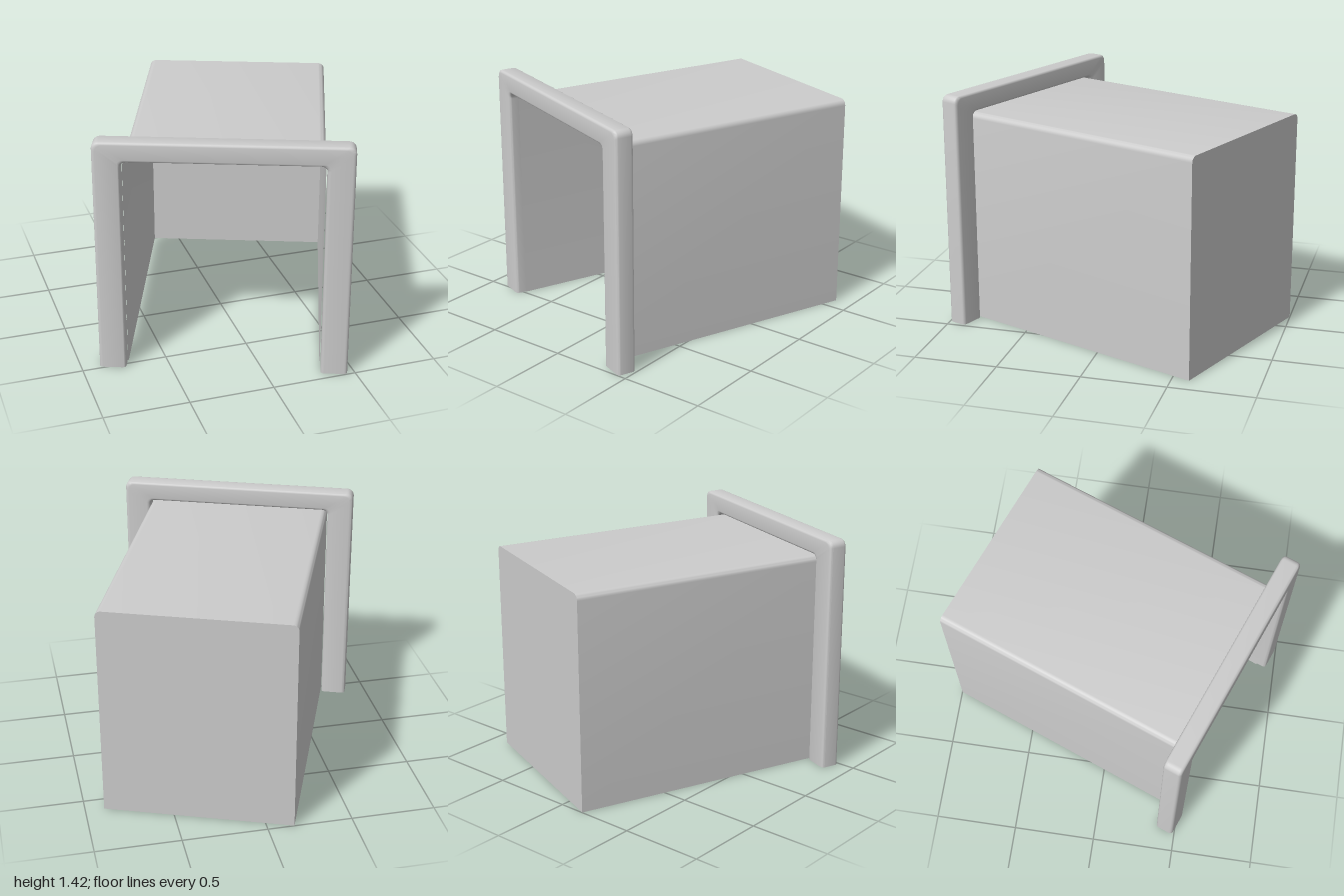
import * as THREE from 'three';
import { mergeVertices, toCreasedNormals } from 'three/addons/utils/BufferGeometryUtils.js';

const material = new THREE.MeshStandardMaterial({ color: 0xcccccc, side: THREE.DoubleSide });

// Upside-down U from the left foot over the top to the right foot, with rounded corners
function archPoints(half, top, radius, steps = 6) {
  const points = [[-half, 0]];
  for (const [cx, start] of [[-half + radius, Math.PI], [half - radius, Math.PI / 2]]) {
    for (let i = 0; i <= steps; i++) {
      const a = start - (i / steps) * Math.PI / 2;
      points.push([cx + radius * Math.cos(a), top - radius + radius * Math.sin(a)]);
    }
  }
  points.push([half, 0]);
  return points;
}

// Skin a grid of rows of [x, y, z]
function skin(rows) {
  const index = [], n = rows[0].length;
  for (let i = 0; i < rows.length - 1; i++) {
    for (let j = 0; j < n - 1; j++) {
      const a = i * n + j, b = a + n;
      index.push(a, b, a + 1, b, b + 1, a + 1);
    }
  }
  const geometry = new THREE.BufferGeometry();
  geometry.setAttribute('position', new THREE.Float32BufferAttribute(rows.flat(2), 3));
  geometry.setIndex(index);
  return toCreasedNormals(mergeVertices(geometry, 1e-5), 0.6);
}

function addMesh(group, name, geometry) {
  const mesh = new THREE.Mesh(geometry, material);
  mesh.name = name;
  group.add(mesh);
}

export function createModel() {
  const group = new THREE.Group();
  const body = new THREE.Group();
  body.name = 'hood';
  body.rotation.y = -0.365;
  group.add(body);

  const centre = 0.057, back = -0.877, frameBack = 0.66, frameFront = 0.773;

  // Thin shell: side walls and roof, open below and at the front
  const arch = archPoints(0.56, 1.3, 0.035);
  addMesh(body, 'shell', skin([0.715, back].map(z => arch.map(([x, y]) => [x + centre, y, z]))));

  // Flat back wall facing backwards
  const wall = new THREE.ShapeGeometry(new THREE.Shape(arch.map(([x, y]) => new THREE.Vector2(-x, y))));
  wall.rotateY(Math.PI).translate(centre, 0, back);
  addMesh(body, 'backWall', wall);

  // Frame cross-section: rounded rectangle, t runs from inner (0) to outer (1) edge
  const section = [], depth = frameFront - frameBack, rt = 0.13, rz = 0.018;
  [[1 - rt, depth - rz], [rt, depth - rz], [rt, rz], [1 - rt, rz]].forEach(([ct, cz], k) => {
    for (let i = 0; i <= 4; i++) {
      const a = (k + i / 4) * Math.PI / 2;
      section.push([ct + rt * Math.cos(a), frameBack + cz + rz * Math.sin(a)]);
    }
  });
  section.push(section[0]);

  // Frame swept around the opening, hollow at the feet
  const inner = archPoints(0.566, 1.308, 0.035), outer = archPoints(0.721, 1.425, 0.04);
  const rows = inner.map(([ix, iy], i) => section.map(([t, z]) => [
    centre + ix + (outer[i][0] - ix) * t,
    iy + (outer[i][1] - iy) * t,
    z,
  ]));
  addMesh(body, 'frontFrame', skin(rows));

  return group;
}
